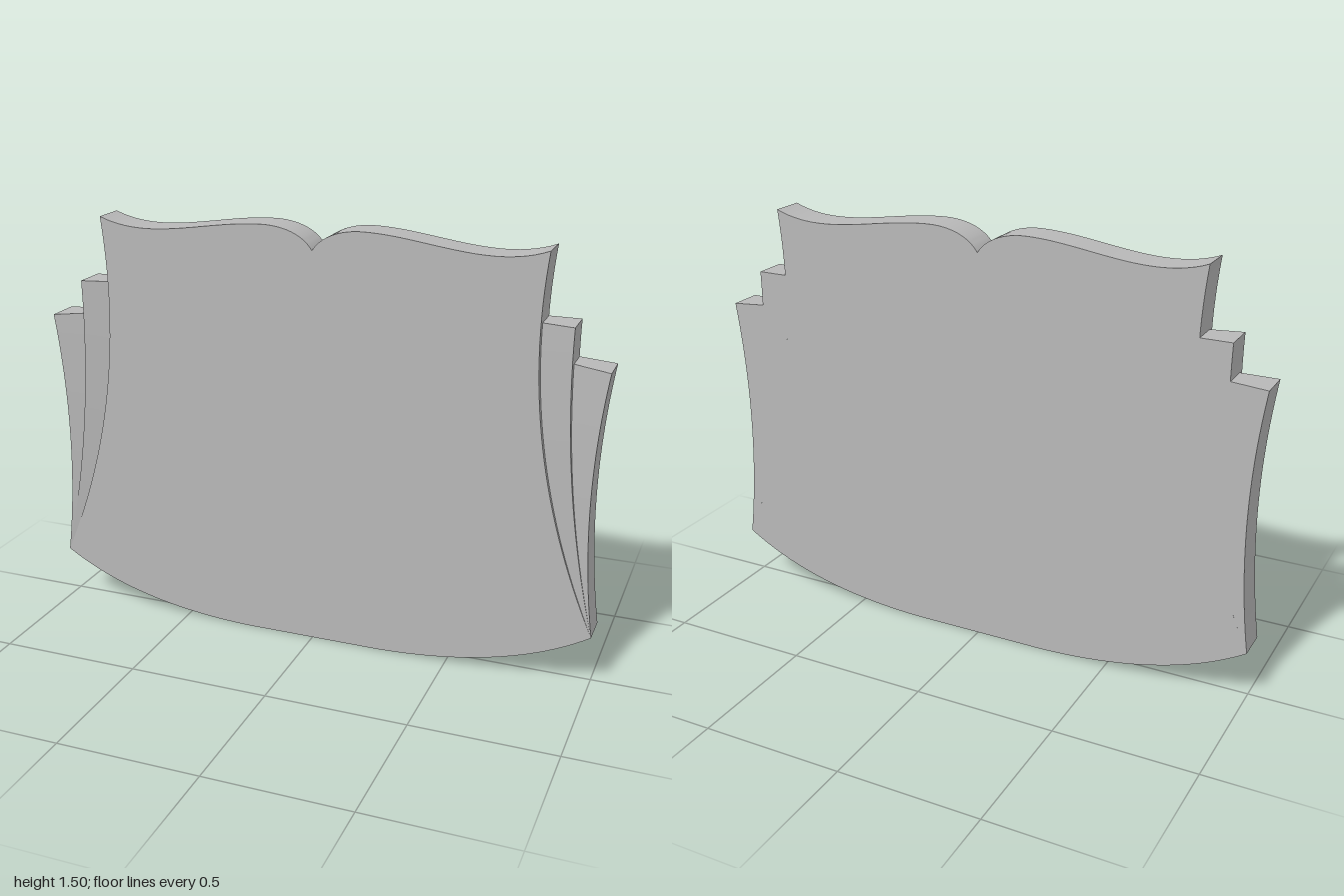
import * as THREE from 'three';
import { toCreasedNormals } from 'three/addons/utils/BufferGeometryUtils.js';

const HALF = 0.06;     // half thickness
const CORNER = 0.19;   // height of the lower corners
const TILT = 0.22;     // how steeply each page front falls towards the centre

// Curved side edges: half width at height y
const bodyEdge = y => 0.77 + 0.2255 * (y - 1.2) ** 2;
const innerPageEdge = y => 0.877 + 0.1335 * (y - 1.15) ** 2;
const outerPageEdge = y => 0.965 + 0.1654 * (y - 0.65) ** 2;

// Central panel: bowed bottom, flared sides, scrolled top with a notch
function bodyGeometry() {
  const half = [];
  const add = (curve, n) => half.push(...curve.getPoints(n).slice(1));
  const v = (x, y) => new THREE.Vector2(x, y);
  half.push(v(0.25, 0));
  add(new THREE.QuadraticBezierCurve(v(0.25, 0), v(0.72, 0.01), v(1, CORNER)), 24);
  for (let i = 1; i <= 30; i++) {
    const y = CORNER + (1.485 - CORNER) * i / 30;
    half.push(v(bodyEdge(y), y));
  }
  const end = half[half.length - 1];
  add(new THREE.CubicBezierCurve(end, v(0.6, 1.41), v(0.38, 1.5), v(0.175, 1.5)), 24);
  add(new THREE.CubicBezierCurve(v(0.175, 1.5), v(0.1, 1.5), v(0.03, 1.475), v(0, 1.425)), 16);
  const mirrored = half.slice(0, -1).reverse().map(p => v(-p.x, p.y));
  const geo = new THREE.ExtrudeGeometry(new THREE.Shape([...half, ...mirrored]), {
    depth: 2 * HALF, bevelEnabled: false,
  });
  geo.translate(0, 0, -HALF);
  return toCreasedNormals(geo, 0.5);
}

// Side page: a slab between two edge curves, its front sloping inwards
function pageGeometry(inner, outer, topInner, topOuter, side) {
  const rows = 30, pos = [], index = [];
  for (let i = 0; i <= rows; i++) {
    const t = i / rows;
    const yi = CORNER + (topInner - CORNER) * t;
    const yo = CORNER + (topOuter - CORNER) * t;
    const xi = inner(yi), xo = Math.max(outer(yo), xi);
    const zi = HALF - TILT * (xo - xi);
    // section corners: inner front, outer front, outer back, inner back
    pos.push(side * xi, yi, zi, side * xo, yo, HALF);
    pos.push(side * xo, yo, -HALF, side * xi, yi, -HALF);
  }
  const quad = (a, b, c, d) => side > 0
    ? index.push(a, b, c, a, c, d)
    : index.push(a, c, b, a, d, c);
  for (let i = 0; i < rows; i++) {
    for (let k = 0; k < 3; k++) {
      const a = i * 4 + k;
      quad(a, a + 1, a + 5, a + 4);
    }
  }
  const top = rows * 4;
  quad(top, top + 1, top + 2, top + 3);
  const geo = new THREE.BufferGeometry();
  geo.setAttribute('position', new THREE.Float32BufferAttribute(pos, 3));
  geo.setIndex(index);
  return toCreasedNormals(geo, 0.5);
}

export function createModel() {
  const group = new THREE.Group();
  group.name = 'panel';
  const grey = new THREE.MeshStandardMaterial({ color: 0xb8b8b8 });
  grey.name = 'grey';
  const add = (name, geo) => {
    const mesh = new THREE.Mesh(geo, grey);
    mesh.name = name;
    group.add(mesh);
  };

  add('body', bodyGeometry());
  for (const [label, side] of [['left', 1], ['right', -1]]) {
    add(label + 'InnerPage', pageGeometry(bodyEdge, innerPageEdge, 1.25, 1.25, side));
    add(label + 'OuterPage', pageGeometry(innerPageEdge, outerPageEdge, 1.125, 1.115, side));
  }
  return group;
}
